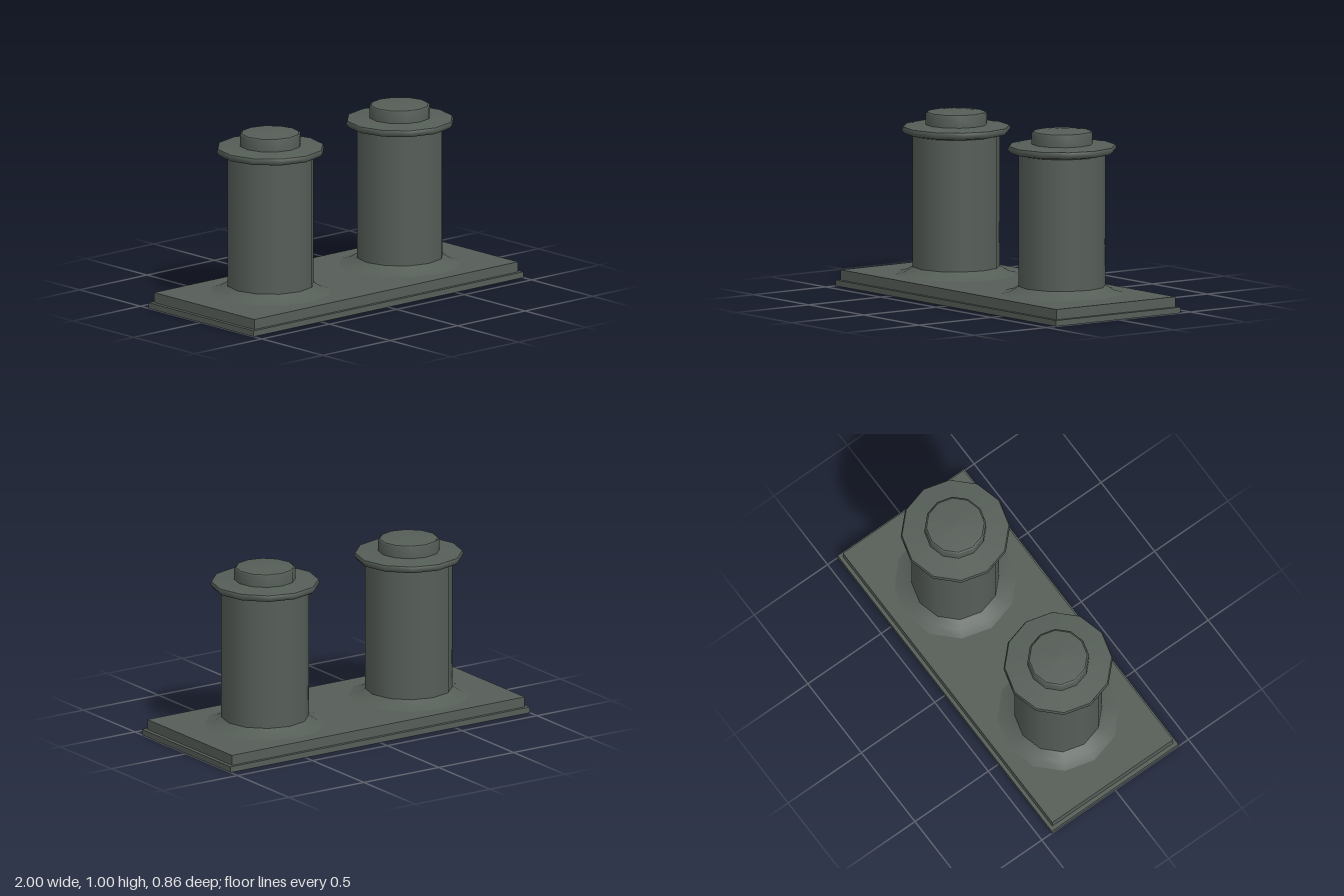
import * as THREE from 'three';

const SIDES = 12;

export function createModel() {
  const model = new THREE.Group();
  model.name = 'doubleBollard';
  const material = new THREE.MeshStandardMaterial({ color: 0x565e58 });

  function add(parent, name, geometry, y = 0) {
    const mesh = new THREE.Mesh(geometry, material);
    mesh.name = name;
    mesh.position.y = y;
    parent.add(mesh);
  }

  // Each profile runs upwards as [radius, height]; separate lathes keep edges sharp
  const lathe = (profile) =>
    new THREE.LatheGeometry(profile.map(([r, y]) => new THREE.Vector2(r, y)), SIDES);

  // Stepped base plate
  add(model, 'baseFlange', new THREE.BoxGeometry(2, 0.033, 0.864), 0.0165);
  add(model, 'basePlate', new THREE.BoxGeometry(1.955, 0.057, 0.824), 0.0615);

  // Two matching posts
  for (const [name, x] of [['leftPost', 0.48], ['rightPost', -0.48]]) {
    const post = new THREE.Group();
    post.name = name;
    post.position.set(x, 0, -0.008);
    add(post, 'footFlare', lathe([[0.343, 0.089], [0.29, 0.102], [0.242, 0.131]]));
    add(post, 'column', lathe([[0.242, 0.131], [0.242, 0.863]]));
    add(post, 'rim', lathe([[0.242, 0.863], [0.288, 0.874], [0.303, 0.893], [0.296, 0.911]]));
    add(post, 'rimTop', lathe([[0.296, 0.911], [0.17, 0.921]]));
    add(post, 'capSide', lathe([[0.17, 0.921], [0.17, 0.984], [0.16, 0.99]]));
    add(post, 'capDome', lathe([[0.16, 0.99], [0.08, 0.996], [0, 0.999]]));
    model.add(post);
  }

  return model;
}
